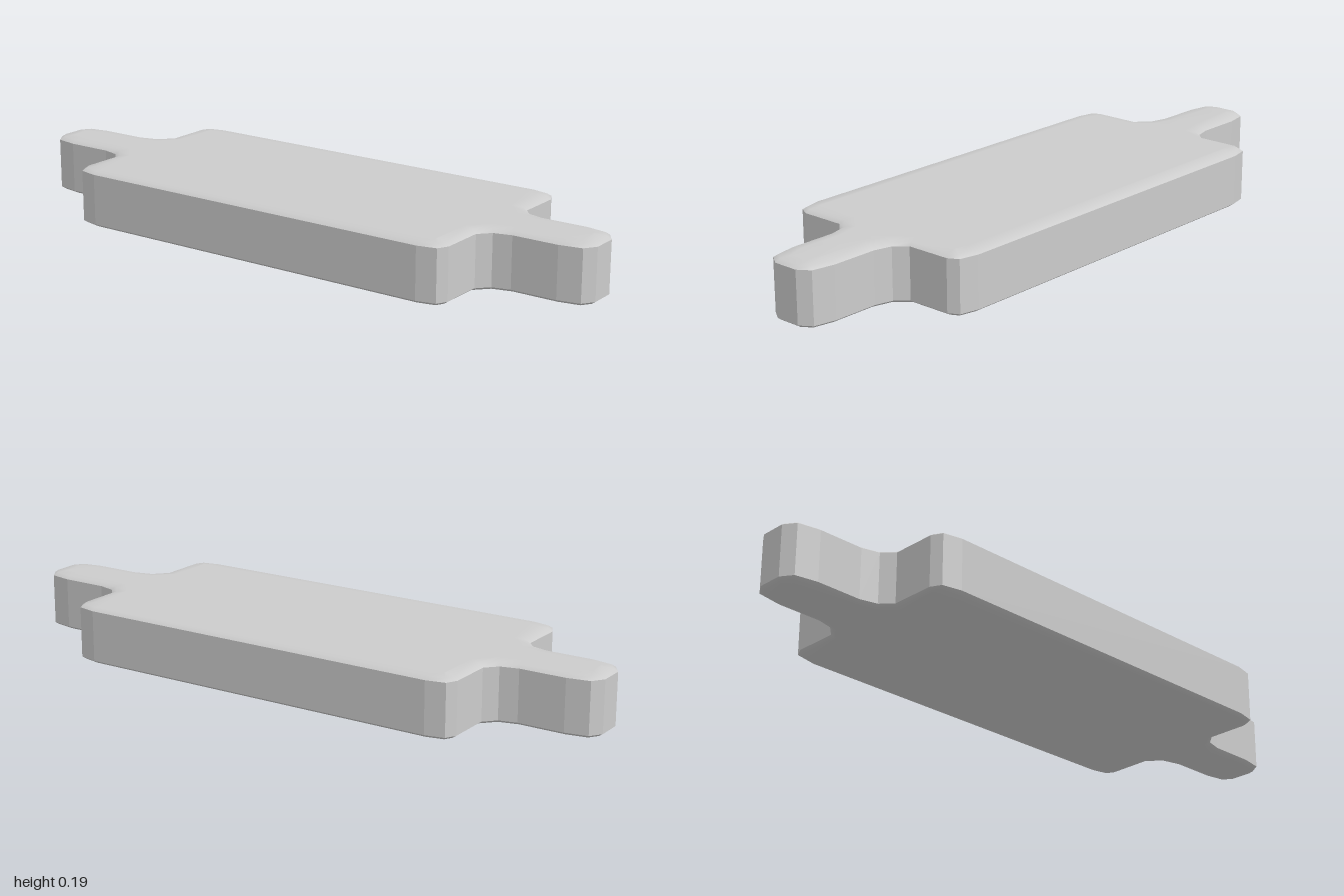
import * as THREE from 'three';

const HEIGHT = 0.186;

// One quarter of the plan outline [x, z], from the tab tip round to the long side
const QUARTER = [
  [1, 0.04], [0.975, 0.077], [0.905, 0.09], [0.76, 0.09], [0.705, 0.104],
  [0.672, 0.14], [0.672, 0.28], [0.655, 0.313], [0.595, 0.326],
];

// Softened edge: [inset from the outline, depth below the face]
const EDGE = [[0, 0.013], [0.013, 0.004], [0.045, 0]];

function fullOutline() {
  const mirror = (sx, sz) => QUARTER.map(([x, z]) => new THREE.Vector2(x * sx, z * sz));
  return [
    ...mirror(1, 1), ...mirror(-1, 1).reverse(),
    ...mirror(-1, -1), ...mirror(1, -1).reverse(),
  ];
}

// Move every side of the outline inwards by d, with mitred corners
function inset(points, d) {
  const n = points.length;
  const inward = (a, b) => {
    const e = b.clone().sub(a).normalize();
    return new THREE.Vector2(-e.y, e.x);
  };
  return points.map((p, i) => {
    const n1 = inward(points[(i + n - 1) % n], p);
    const n2 = inward(p, points[(i + 1) % n]);
    const miter = n1.clone().add(n2).multiplyScalar(d / (1 + n1.dot(n2)));
    return p.clone().add(miter);
  });
}

// Loft rings listed from low to high; cap is 'top', 'bottom' or nothing
function loft(rings, cap) {
  const n = rings[0].points.length;
  const position = [];
  const index = [];
  for (const { points, y } of rings) {
    for (const p of points) position.push(p.x, y, p.y);
  }
  for (let r = 0; r < rings.length - 1; r++) {
    for (let i = 0; i < n; i++) {
      const a = r * n + i;
      const b = r * n + (i + 1) % n;
      index.push(a, a + n, b, b, a + n, b + n);
    }
  }
  if (cap) {
    const base = cap === 'top' ? (rings.length - 1) * n : 0;
    const face = rings[base / n].points;
    for (const [a, b, c] of THREE.ShapeUtils.triangulateShape(face, [])) {
      if (cap === 'top') index.push(base + a, base + c, base + b);
      else index.push(base + a, base + b, base + c);
    }
  }
  const geometry = new THREE.BufferGeometry();
  geometry.setAttribute('position', new THREE.Float32BufferAttribute(position, 3));
  geometry.setIndex(index);
  geometry.computeVertexNormals();
  return geometry;
}

export function createModel() {
  const group = new THREE.Group();
  group.name = 'tabbedPlate';
  const smooth = new THREE.MeshStandardMaterial({ color: 0xcccccc });
  const faceted = new THREE.MeshStandardMaterial({ color: 0xcccccc, flatShading: true });
  const outline = fullOutline();

  const add = (name, geometry, material) => {
    const mesh = new THREE.Mesh(geometry, material);
    mesh.name = name;
    group.add(mesh);
  };

  // Upright faceted wall
  const lip = EDGE[0][1];
  add('sideWall', loft([
    { points: outline, y: lip },
    { points: outline, y: HEIGHT - lip },
  ]), faceted);

  // Smooth top and bottom faces with softened edges
  const upper = EDGE.map(([d, drop]) => ({ points: inset(outline, d), y: HEIGHT - drop }));
  const lower = EDGE.map(([d, drop]) => ({ points: inset(outline, d), y: drop })).reverse();
  add('topFace', loft(upper, 'top'), smooth);
  add('bottomFace', loft(lower, 'bottom'), smooth);

  return group;
}
